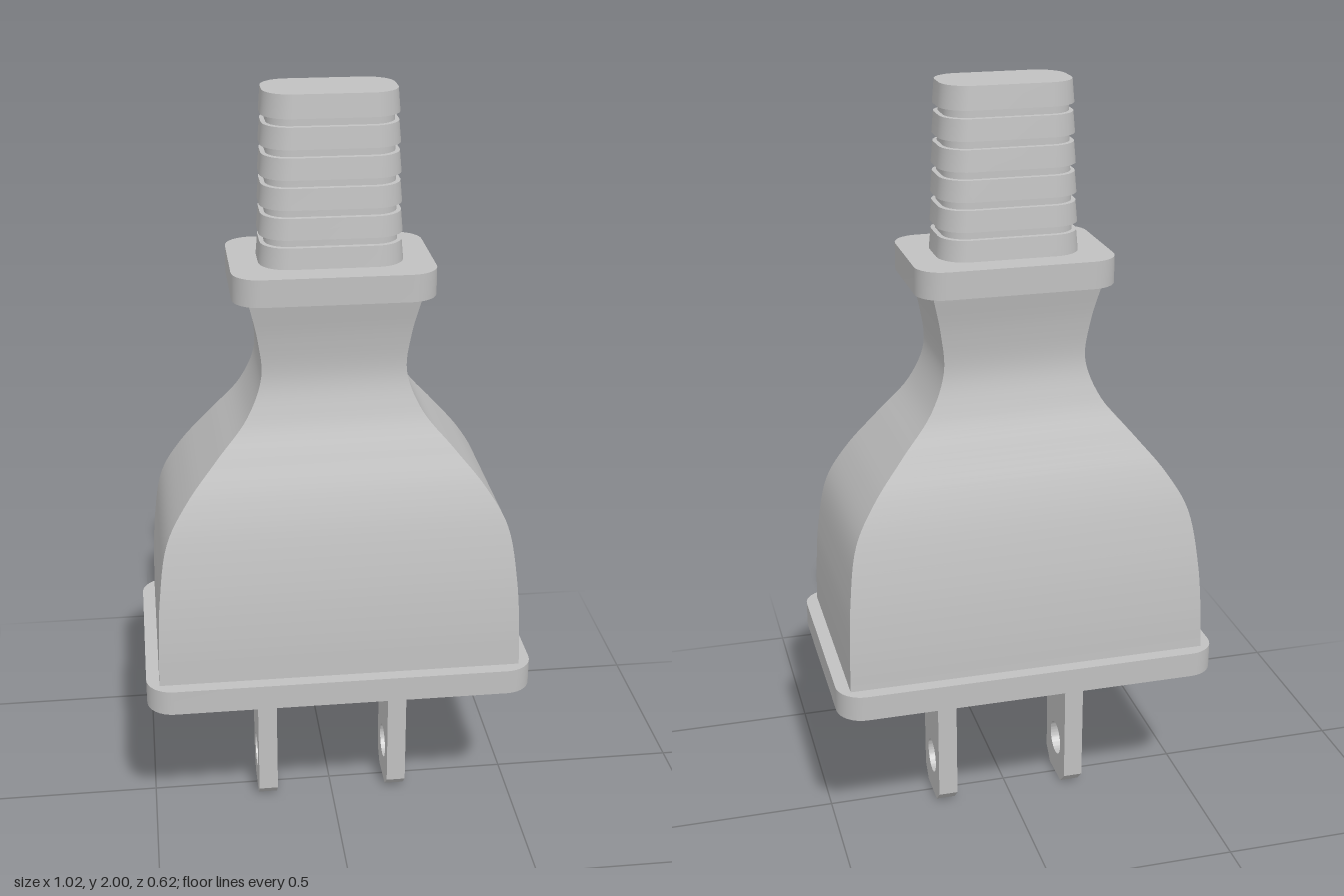
import * as THREE from 'three';
import { toCreasedNormals } from 'three/addons/utils/BufferGeometryUtils.js';

const grey = new THREE.MeshStandardMaterial({ color: 0xc0c0c0 });
grey.name = 'grey plastic';

// Rounded rectangle outline in x/z; radius 0 gives four sharp corners.
function outline(halfX, halfZ, radius) {
  if (radius === 0) return [[halfX, halfZ], [-halfX, halfZ], [-halfX, -halfZ], [halfX, -halfZ]];
  const points = [], steps = 8;
  [[1, 1], [-1, 1], [-1, -1], [1, -1]].forEach(([sx, sz], corner) => {
    for (let k = 0; k <= steps; k++) {
      const a = (corner + k / steps) * Math.PI / 2;
      points.push([
        sx * (halfX - radius) + radius * Math.cos(a),
        sz * (halfZ - radius) + radius * Math.sin(a),
      ]);
    }
  });
  return points;
}

// Closed solid through stacked sections { y, x, z, r }.
function loft(name, sections) {
  const positions = [], index = [];
  const loops = sections.map((s) => outline(s.x, s.z, s.r));
  const n = loops[0].length;
  loops.forEach((loop, j) => loop.forEach(([x, z]) => positions.push(x, sections[j].y, z)));
  for (let j = 0; j < loops.length - 1; j++) {
    for (let i = 0; i < n; i++) {
      const a = j * n + i, b = j * n + (i + 1) % n;
      index.push(a, a + n, b, b, a + n, b + n);
    }
  }
  // End caps
  const bottom = positions.length / 3, top = bottom + 1, last = (loops.length - 1) * n;
  positions.push(0, sections[0].y, 0, 0, sections[sections.length - 1].y, 0);
  for (let i = 0; i < n; i++) {
    const next = (i + 1) % n;
    index.push(bottom, i, next, top, last + next, last + i);
  }
  const geometry = new THREE.BufferGeometry();
  geometry.setAttribute('position', new THREE.Float32BufferAttribute(positions, 3));
  geometry.setIndex(index);
  const mesh = new THREE.Mesh(toCreasedNormals(geometry, Math.PI / 6), grey);
  mesh.name = name;
  return mesh;
}

const plate = (name, y0, y1, x, z, r) => loft(name, [{ y: y0, x, z, r }, { y: y1, x, z, r }]);

// Four-sided body: each profile point is (half width, height, half depth).
function makeBody() {
  const profile = [
    [0.476, 0.51, 0.275], [0.473, 0.62, 0.27], [0.465, 0.75, 0.256], [0.44, 0.9, 0.228],
    [0.385, 1.0, 0.202], [0.305, 1.1, 0.17], [0.223, 1.2, 0.139], [0.185, 1.3, 0.12],
    [0.193, 1.4, 0.128], [0.217, 1.51, 0.15],
  ].map((p) => new THREE.Vector3(...p));
  const curve = new THREE.CatmullRomCurve3(profile);
  return loft('body', curve.getPoints(54).map((p) => ({ y: p.y, x: p.x, z: p.z, r: 0 })));
}

// Tapered cord sleeve with six ribs and narrow grooves between them.
function makeSleeve() {
  const sections = [], count = 6, base = 1.575, pitch = 0.0735;
  const add = (y, grow) => {
    const t = (y - base) / (2 - base);
    sections.push({ y, x: 0.179 - 0.013 * t + grow, z: 0.108 - 0.014 * t + grow, r: 0.07 + grow });
  };
  for (let i = 0; i < count; i++) {
    const y0 = base + i * pitch;
    const y1 = i === count - 1 ? 2 : y0 + 0.053;
    add(y0, 0.003);
    add(y1, 0);
    if (i < count - 1) {
      add(y1 + 0.001, -0.011);
      add(y0 + pitch - 0.001, -0.011);
    }
  }
  return loft('cordSleeve', sections);
}

// Flat contact blade with clipped tip corners and a round hole.
function makeBlade(name, centreX) {
  const w = 0.088, clip = 0.036, thickness = 0.052;
  const shape = new THREE.Shape();
  shape.moveTo(-w + clip, 0);
  shape.lineTo(w - clip, 0);
  shape.lineTo(w, clip);
  shape.lineTo(w, 0.46);
  shape.lineTo(-w, 0.46);
  shape.lineTo(-w, clip);
  shape.closePath();
  shape.holes.push(new THREE.Path().absarc(0, 0.112, 0.047, 0, Math.PI * 2, true));
  const geometry = new THREE.ExtrudeGeometry(shape, { depth: thickness, bevelEnabled: false, curveSegments: 32 });
  geometry.translate(0, 0, -thickness / 2);
  geometry.rotateY(Math.PI / 2);
  const mesh = new THREE.Mesh(toCreasedNormals(geometry, Math.PI / 6), grey);
  mesh.name = name;
  mesh.position.x = centreX;
  return mesh;
}

export function createModel() {
  const plug = new THREE.Group();
  plug.name = 'powerPlug';
  plug.add(
    makeBlade('leftBlade', 0.182),
    makeBlade('rightBlade', -0.182),
    plate('baseFlange', 0.445, 0.513, 0.51, 0.31, 0.07),
    makeBody(),
    plate('neckFlange', 1.505, 1.575, 0.255, 0.183, 0.07),
    makeSleeve(),
  );
  return plug;
}
